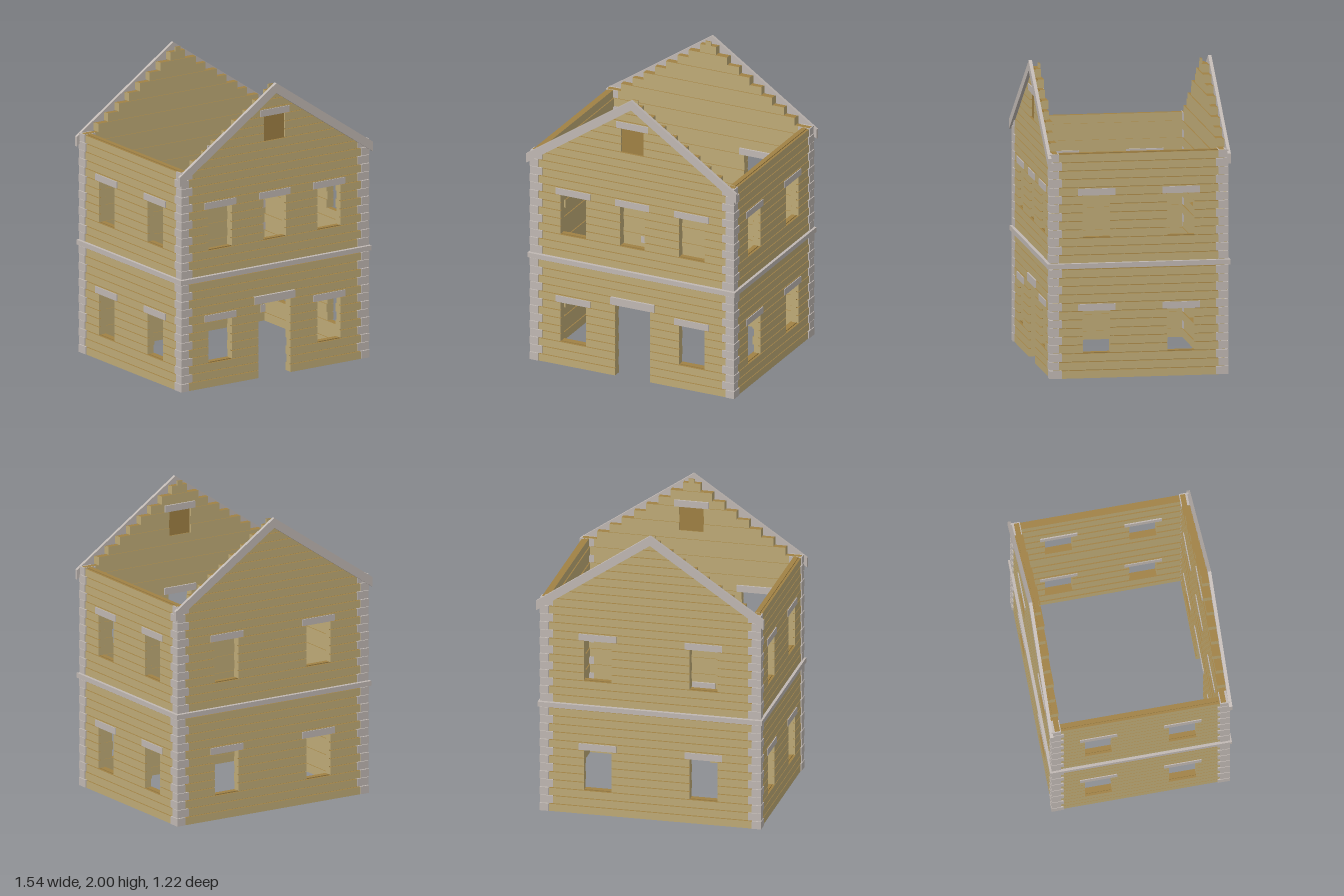
import * as THREE from 'three';

const P = 0.0562;      // plank course height
const FLOOR2 = 0.77;   // base of the upper storey
const COURSES = 13;    // courses per storey

const rowY = k => (k < COURSES ? k * P : FLOOR2 + (k - COURSES) * P);

export function createModel() {
  const tan = new THREE.MeshStandardMaterial({ color: 0xbfab77 });
  tan.name = 'tanPlank';
  const brown = new THREE.MeshStandardMaterial({ color: 0xa08144 });
  brown.name = 'brownEdge';
  const grey = new THREE.MeshStandardMaterial({ color: 0xc0b8b3 });
  grey.name = 'greyStone';
  const plankMats = [tan, tan, brown, brown, tan, tan];
  const coreMats = [tan, tan, brown, brown, brown, brown];

  // box given by its min and max corners
  function box(parent, name, mat, x0, x1, y0, y1, z0, z1) {
    const m = new THREE.Mesh(new THREE.BoxGeometry(x1 - x0, y1 - y0, z1 - z0), mat);
    m.position.set((x0 + x1) / 2, (y0 + y1) / 2, (z0 + z1) / 2);
    m.name = name;
    parent.add(m);
    return m;
  }

  // stretches of a course left over between the openings
  function segments(half, row, holes) {
    const out = [];
    let x = -half;
    holes.filter(h => row >= h.r0 && row < h.r1).sort((a, b) => a.x0 - b.x0).forEach(h => {
      out.push([x, h.x0]);
      x = h.x1;
    });
    out.push([x, half]);
    return out;
  }

  // one layered plank: grooved outer board, core, and staggered inner board
  function course(wall, x0, x1, y0, y1, outer, inner, k) {
    const step = k % 2 ? 0.008 : 0;
    box(wall, 'outerPlank', plankMats, x0, x1, y0, y1 - 0.006, outer - 0.016, outer);
    box(wall, 'wallCore', coreMats, x0, x1, y0, y1, inner + 0.016, outer - 0.016);
    box(wall, 'innerPlank', plankMats, x0, x1, y0, y1, inner + step, inner + 0.016);
  }

  // a wall along x with its outside facing +z
  function makeWall(name, half, outer, inner, rows, holes) {
    const wall = new THREE.Group();
    wall.name = name;
    for (let k = 0; k < rows; k++) {
      const y0 = rowY(k), y1 = y0 + P;
      const w = k < 2 * COURSES ? half : (1.99 - y1) / 0.68;
      for (const [a, b] of segments(w, k, holes)) course(wall, a, b, y0, y1, outer, inner, k);
    }
    // course hidden behind the floor band
    course(wall, -half, half, COURSES * P, FLOOR2, outer, inner, 1);
    // lintels run through the wall
    for (const h of holes) {
      const y = rowY(h.r1 - 1) + P, over = 0.033;
      box(wall, 'lintel', grey, h.x0 - over, h.x1 + over, y, y + (h.lintel || 0.045),
        inner - 0.004, outer + 0.006);
    }
    return wall;
  }

  // pairs of windows on both storeys
  function windowPairs(a, b) {
    const out = [];
    for (const r of [3, 16]) {
      out.push({ x0: a, x1: b, r0: r, r1: r + 5 }, { x0: -b, x1: -a, r0: r, r1: r + 5 });
    }
    return out;
  }

  // sloping gable trim
  function addGableTrim(wall) {
    const s = new THREE.Shape([[0, 2], [-0.77, 1.476], [-0.77, 1.41], [0, 1.932], [0.77, 1.41], [0.77, 1.476]]
      .map(p => new THREE.Vector2(...p)));
    const trim = new THREE.Mesh(new THREE.ExtrudeGeometry(s, { depth: 0.022, bevelEnabled: false }), grey);
    trim.position.z = 0.587;
    trim.name = 'gableTrim';
    wall.add(trim);
    box(wall, 'gablePeak', plankMats, -0.02, 0.02, rowY(34), 1.98, 0.535, 0.545);
  }

  const house = new THREE.Group();
  house.name = 'house';

  // front gable wall with door, windows and blind attic opening
  const front = makeWall('frontWall', 0.74, 0.588, 0.53, 34, [
    ...windowPairs(0.34, 0.527),
    { x0: -0.128, x1: 0.128, r0: 0, r1: 9, lintel: 0.052 },
    { x0: -0.09, x1: 0.09, r0: 16, r1: 21 },
    { x0: -0.083, x1: 0.083, r0: 28, r1: 31 },
  ]);
  box(front, 'atticPanel', brown, -0.085, 0.085, rowY(28), rowY(31), 0.546, 0.574);
  addGableTrim(front);
  house.add(front);

  // back gable wall
  const back = makeWall('backWall', 0.74, 0.588, 0.53, 34, windowPairs(0.265, 0.452));
  addGableTrim(back);
  back.rotation.y = Math.PI;
  house.add(back);

  // side walls
  for (const side of [1, -1]) {
    const wall = makeWall(side > 0 ? 'leftWall' : 'rightWall', 0.53, 0.742, 0.685, 26, windowPairs(0.19, 0.373));
    wall.rotation.y = side * Math.PI / 2;
    house.add(wall);
  }

  // alternating corner stones
  const stones = new THREE.Group();
  stones.name = 'cornerStones';
  for (const sx of [1, -1]) for (const sz of [1, -1]) {
    for (let k = 0; k < 2 * COURSES; k++) {
      const odd = k % 2, w = odd ? 0.088 : 0.063, d = odd ? 0.063 : 0.082;
      const ox = odd ? 0.748 : 0.75, oz = odd ? 0.595 : 0.597;
      const stone = new THREE.Mesh(new THREE.BoxGeometry(w, P - 0.004, d), grey);
      stone.position.set(sx * (ox - w / 2), rowY(k) + P / 2, sz * (oz - d / 2));
      stone.name = 'cornerStone';
      stones.add(stone);
    }
  }
  house.add(stones);

  // band around the house between the storeys
  const band = new THREE.Group();
  band.name = 'floorBand';
  for (const s of [1, -1]) {
    const f = box(band, 'bandLong', grey, -0.76, 0.76, 0.735, 0.768, 0.57, 0.608);
    f.position.z *= s;
    const e = box(band, 'bandShort', grey, 0.72, 0.76, 0.735, 0.768, -0.57, 0.57);
    e.position.x *= s;
  }
  house.add(band);

  return house;
}
